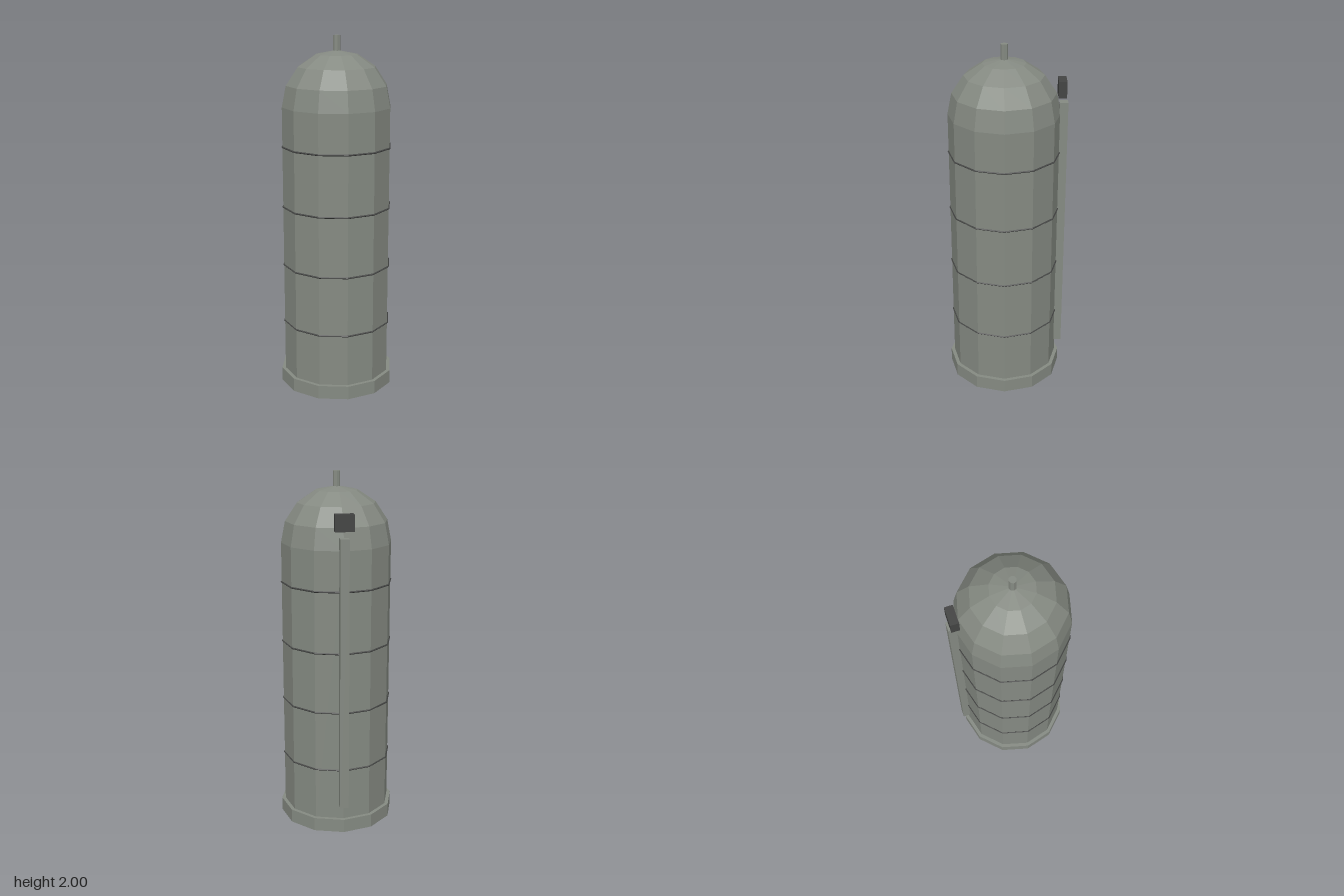
import * as THREE from 'three';

export function createModel() {
  const group = new THREE.Group();
  const metal = new THREE.MeshStandardMaterial({ color: 0x858a82, flatShading: true });
  metal.name = 'greyGreenMetal';
  const dark = new THREE.MeshStandardMaterial({ color: 0x434443, flatShading: true });
  dark.name = 'darkMetal';

  const SIDES = 12, RADIUS = 0.306, DOME_Y = 1.615, AXIS_Z = 0.008;

  function add(name, geometry, material, x, y, z) {
    const mesh = new THREE.Mesh(geometry, material);
    mesh.name = name;
    mesh.position.set(x, y, z);
    group.add(mesh);
    return mesh;
  }

  // Plinth and tall faceted wall
  add('base', new THREE.CylinderGeometry(0.327, 0.327, 0.077, SIDES), metal, 0, 0.0385, AXIS_Z);
  const wallHeight = DOME_Y - 0.07;
  add('wall', new THREE.CylinderGeometry(RADIUS, RADIUS, wallHeight, SIDES, 1, true),
    metal, 0, 0.07 + wallHeight / 2, AXIS_Z);

  // Hemispherical roof with a short vent pipe
  add('dome', new THREE.SphereGeometry(RADIUS, SIDES, 4, 0, Math.PI * 2, 0, Math.PI / 2),
    metal, 0, DOME_Y, AXIS_Z);
  add('vent', new THREE.CylinderGeometry(0.02, 0.02, 0.1, 8), metal, 0, 1.95, AXIS_Z);

  // Evenly spaced hoops around the wall
  for (let i = 0; i < 4; i++) {
    const hoop = add('hoop' + (i + 1), new THREE.TorusGeometry(0.307, 0.005, 4, SIDES),
      dark, 0, 0.373 + i * 0.341, AXIS_Z);
    hoop.rotation.x = Math.PI / 2;
  }

  // Chute up the back and the dark hatch box above it
  add('chute', new THREE.BoxGeometry(0.049, 1.525, 0.046), metal, 0, 0.9225, -0.312);
  add('hatch', new THREE.BoxGeometry(0.102, 0.09, 0.045), dark, 0, 1.765, -0.302);

  return group;
}
